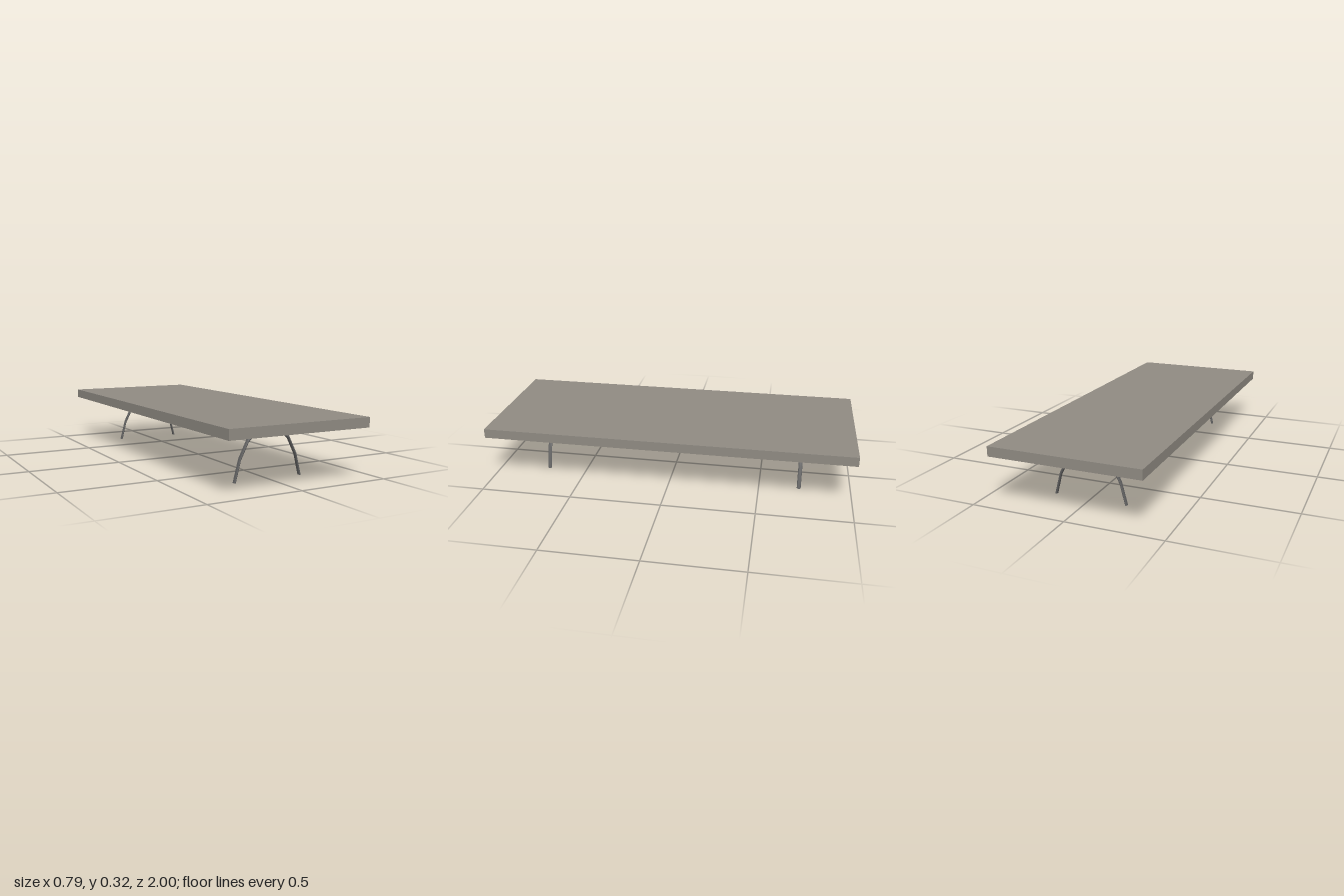
import * as THREE from 'three';
import { toCreasedNormals } from 'three/addons/utils/BufferGeometryUtils.js';

// Half of the leg arch: centre x, y and the in-plane half-axis of each oval section
const HALF_ARCH = [
  [0.1935, 0, 0.0065, 0],
  [0.164, 0.1125, 0.004, 0.0075],
  [0.12, 0.199, 0.003, 0.009],
  [0.063, 0.254, 0.002, 0.011],
];
const SIDES = 12;
const DEPTH = 0.011;

// Bent tube: oval rings joined by quads, closed at both feet
function archGeometry() {
  const mirrored = HALF_ARCH.map(([x, y, ax, ay]) => [-x, y, -ax, ay]);
  const rings = [...HALF_ARCH, ...mirrored.reverse()];
  const positions = [];
  const indices = [];
  for (const [x, y, ax, ay] of rings) {
    for (let j = 0; j < SIDES; j++) {
      const a = (j / SIDES) * Math.PI * 2;
      positions.push(x + ax * Math.cos(a), y + ay * Math.cos(a), DEPTH * Math.sin(a));
    }
  }
  for (let i = 0; i < rings.length - 1; i++) {
    for (let j = 0; j < SIDES; j++) {
      const k = (j + 1) % SIDES;
      const a = i * SIDES + j, b = i * SIDES + k;
      const c = a + SIDES, d = b + SIDES;
      indices.push(a, c, b, b, c, d);
    }
  }
  const last = (rings.length - 1) * SIDES;
  for (let j = 1; j < SIDES - 1; j++) {
    indices.push(0, j, j + 1);
    indices.push(last, last + j + 1, last + j);
  }
  const geometry = new THREE.BufferGeometry();
  geometry.setAttribute('position', new THREE.Float32BufferAttribute(positions, 3));
  geometry.setIndex(indices);
  return toCreasedNormals(geometry, 0.8);
}

export function createModel() {
  const model = new THREE.Group();
  model.name = 'lowTable';

  const topMaterial = new THREE.MeshStandardMaterial({ color: 0x8f8a82 });
  const legMaterial = new THREE.MeshStandardMaterial({ color: 0x606060, side: THREE.DoubleSide });

  // Slab top
  const top = new THREE.Mesh(new THREE.BoxGeometry(0.79, 0.051, 2), topMaterial);
  top.name = 'tableTop';
  top.position.y = 0.2905;
  model.add(top);

  // One arched leg near each end
  const arch = archGeometry();
  for (const [name, z] of [['frontLeg', 0.72], ['backLeg', -0.72]]) {
    const leg = new THREE.Mesh(arch, legMaterial);
    leg.name = name;
    leg.position.z = z;
    model.add(leg);
  }
  return model;
}
